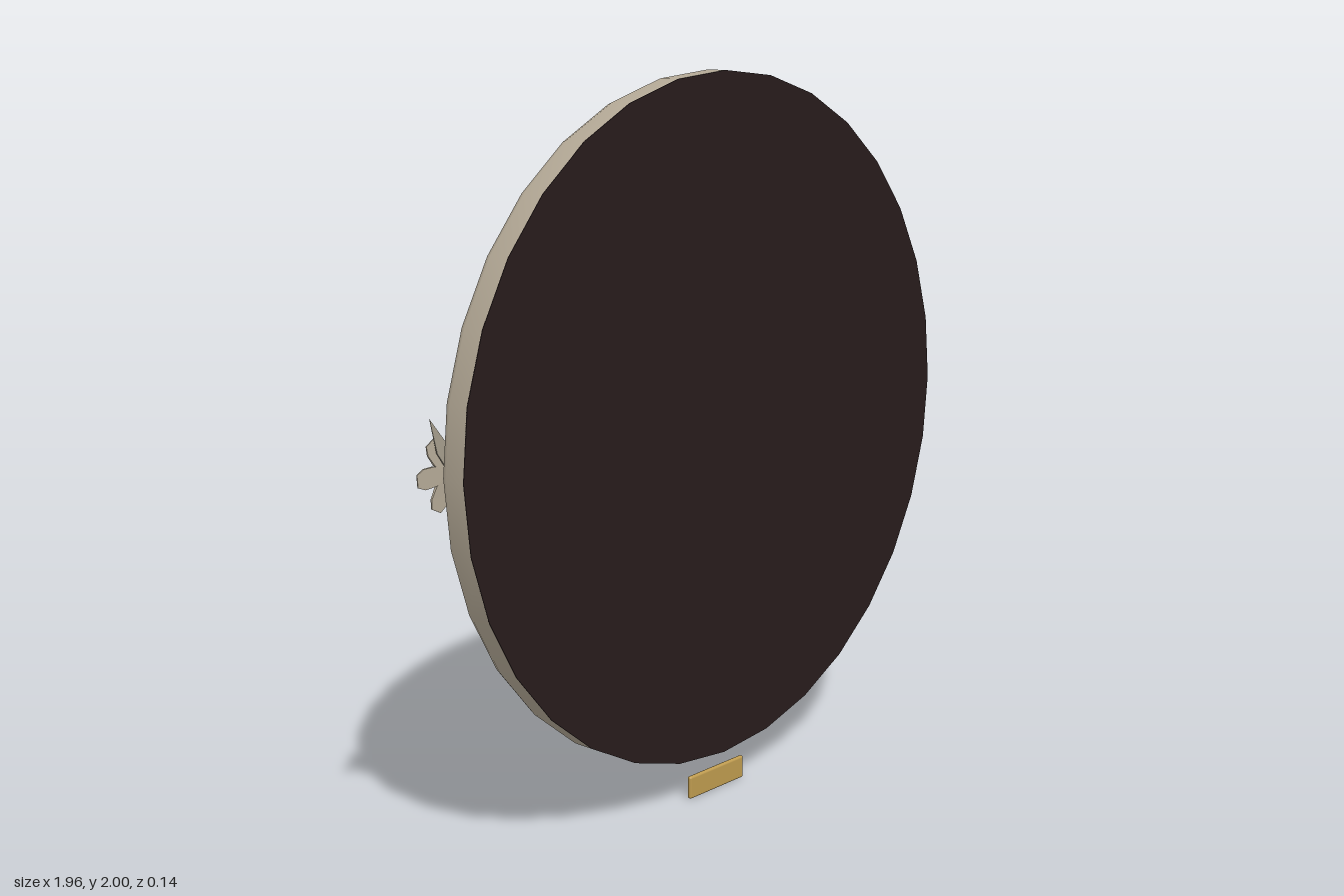
import * as THREE from 'three';
import { RoundedBoxGeometry } from 'three/addons/geometries/RoundedBoxGeometry.js';

const mat = (name, color) => Object.assign(new THREE.MeshStandardMaterial({ color }), { name });

function makeMesh(name, geometry, material, parent, x = 0, y = 0, z = 0) {
  const m = new THREE.Mesh(geometry, material);
  m.name = name;
  m.position.set(x, y, z);
  parent.add(m);
  return m;
}

// plate cut from an outline of [x, y] points, thinning away from its root
function taperedPlate(points, depth, length) {
  const shape = new THREE.Shape(points.map(p => new THREE.Vector2(p[0], p[1])));
  const geometry = new THREE.ExtrudeGeometry(shape, { depth, bevelEnabled: false });
  geometry.translate(0, 0, -depth / 2);
  const pos = geometry.attributes.position;
  for (let i = 0; i < pos.count; i++) {
    const r = Math.min(1, Math.hypot(pos.getX(i), pos.getY(i)) / length);
    pos.setZ(i, pos.getZ(i) * (1 - 0.8 * r));
  }
  geometry.computeVertexNormals();
  return geometry;
}

export function createModel() {
  const model = new THREE.Group();
  model.name = 'roundFrame';
  const cream = mat('cream', 0xb5aa97);
  const dark = mat('darkBrown', 0x271c1c);
  const gold = mat('gold', 0xbd9a4e);
  const purple = mat('purple', 0x917eb0);
  const leafColor = mat('greyLeaf', 0xa59d8c);
  const R = 0.9425, CY = 1.0575, SIDES = 32;

  // rounded ring, its domed side facing the back
  const profile = [
    [R, -0.066], [R, -0.005], [0.936, 0.012], [0.922, 0.024], [0.9, 0.031],
    [0.878, 0.033], [0.856, 0.03], [0.836, 0.021], [0.822, 0.008], [0.815, -0.008], [0.815, -0.044],
  ].map(p => new THREE.Vector2(p[0], p[1]));
  const ring = makeMesh('frameRing', new THREE.LatheGeometry(profile, SIDES), cream, model, 0, CY, 0);
  ring.rotation.x = -Math.PI / 2;

  // dark panel inside the ring and the cover over its front
  const panel = makeMesh('innerPanel', new THREE.CircleGeometry(0.816, SIDES), dark, model, 0, CY, 0.04);
  panel.rotation.y = Math.PI;
  const cover = makeMesh('frontCover', new THREE.CylinderGeometry(R, R, 0.003, SIDES), dark, model, 0, CY, 0.0665);
  cover.rotation.x = -Math.PI / 2;

  // thin gold trim along the inner edge, following the ring's facets
  const trim = makeMesh('goldTrim', new THREE.TorusGeometry(0.815, 0.006, 8, SIDES), gold, model, 0, CY, 0.002);
  trim.scale.z = 0.9;

  // a flower with two leaves on each side
  const petal = taperedPlate([[0, -0.008], [0.045, -0.025], [0.078, -0.026], [0.1, -0.016],
    [0.1, 0.016], [0.078, 0.026], [0.045, 0.025], [0, 0.008]], 0.014, 0.1);
  const leaf = taperedPlate([[-0.008, 0], [0.008, 0], [0.019, 0.07], [0, 0.158], [-0.019, 0.07]], 0.006, 0.158);
  for (const side of [1, -1]) {
    const flower = new THREE.Group();
    flower.name = side > 0 ? 'leftFlower' : 'rightFlower';
    flower.position.set(side * 0.88, CY, -0.056);
    model.add(flower);
    for (let i = 0; i < 6; i++) {
      const p = makeMesh('petal', petal, side > 0 ? purple : cream, flower);
      p.rotation.z = i * Math.PI / 3 + 0.07;
    }
    for (const s of [1, -1]) {
      const l = makeMesh('leaf', leaf, leafColor, flower, 0, 0, 0.013);
      l.rotation.z = s * 0.44;
    }
    const heart = makeMesh('flowerCentre', new THREE.SphereGeometry(0.022, 14, 10), gold, flower, 0, 0, -0.002);
    heart.scale.z = 0.7;
  }

  // small plaque below, with plain dark bars and studs on its back
  const plaque = new THREE.Group();
  plaque.name = 'plaque';
  plaque.position.set(0, 0.0325, 0.036);
  model.add(plaque);
  makeMesh('plaqueBody', new RoundedBoxGeometry(0.226, 0.065, 0.014, 3, 0.006), gold, plaque);
  makeMesh('upperBar', new THREE.BoxGeometry(0.165, 0.011, 0.003), dark, plaque, 0, 0.012, -0.0075);
  makeMesh('lowerBar', new THREE.BoxGeometry(0.14, 0.009, 0.003), dark, plaque, 0, -0.011, -0.0075);
  for (const s of [1, -1]) {
    const stud = makeMesh('stud', new THREE.SphereGeometry(0.008, 10, 8), gold, plaque, s * 0.097, 0, -0.007);
    stud.scale.z = 0.6;
  }
  return model;
}
